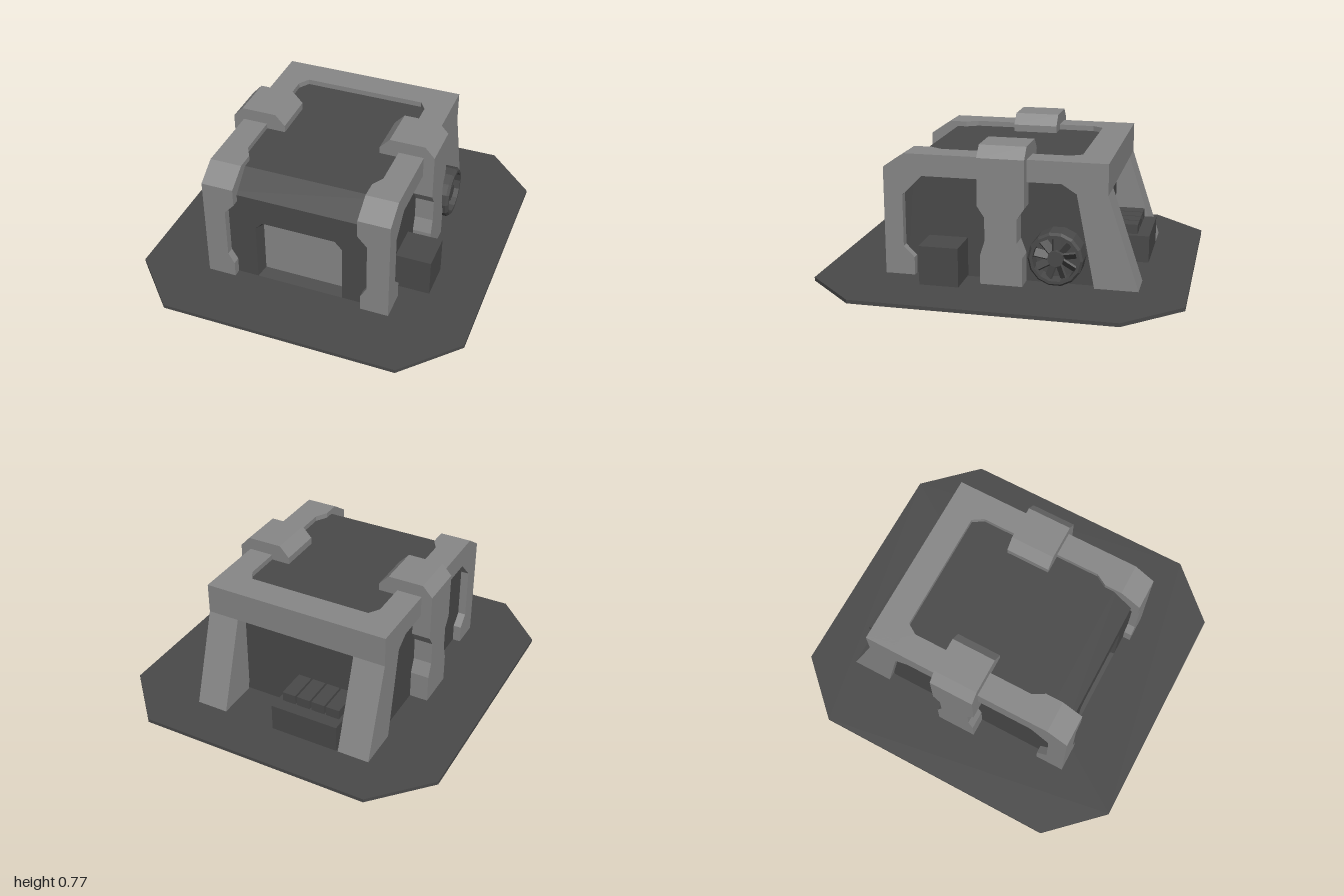
import * as THREE from 'three';

const light = new THREE.MeshStandardMaterial({ color: 0x888888, flatShading: true });
light.name = 'lightPanel';
const dark = new THREE.MeshStandardMaterial({ color: 0x4a4a4a, flatShading: true, side: THREE.DoubleSide });
dark.name = 'darkPanel';

const shapeOf = pts => new THREE.Shape(pts.map(p => new THREE.Vector2(p[0], p[1])));
const extrude = (shape, depth) => new THREE.ExtrudeGeometry(shape, { depth, bevelEnabled: false });

function add(group, name, geometry, material) {
  const mesh = new THREE.Mesh(geometry, material);
  mesh.name = name;
  group.add(mesh);
  return mesh;
}

// Prism along x from points (z, y)
function alongX(pts, a, b) {
  const lo = Math.min(a, b), hi = Math.max(a, b);
  return extrude(shapeOf(pts), hi - lo).rotateY(-Math.PI / 2).translate(hi, 0, 0);
}
// Prism along y from points (x, z)
const alongY = (pts, lo, hi) => extrude(shapeOf(pts), hi - lo).rotateX(Math.PI / 2).translate(0, hi, 0);
// Prism along z from points (x, y)
const alongZ = (pts, lo, hi) => extrude(shapeOf(pts), hi - lo).translate(0, 0, lo);

function box(x0, x1, y0, y1, z0, z1) {
  return new THREE.BoxGeometry(x1 - x0, y1 - y0, z1 - z0)
    .translate((x0 + x1) / 2, (y0 + y1) / 2, (z0 + z1) / 2);
}

// Armour frame and buttress of one side, s = 1 or -1
function buildSide(s) {
  const g = new THREE.Group();
  g.name = s > 0 ? 'leftFrame' : 'rightFrame';
  const flip = pts => pts.map(([x, v]) => [s * x, v]);

  add(g, 'sideFrame', alongX([
    [0.645, 0.02], [0.645, 0.62], [0.525, 0.7], [-0.575, 0.7], [-0.575, 0.53], [-0.745, 0.02], [-0.51, 0.02],
    [-0.41, 0.53], [-0.33, 0.58], [0.43, 0.58], [0.54, 0.47], [0.54, 0.18], [0.48, 0.12], [0.48, 0.02],
  ], s * 0.47, s * 0.53), light);
  add(g, 'frontPost', alongZ(flip([
    [0.53, 0.02], [0.53, 0.62], [0.35, 0.62], [0.35, 0.52], [0.405, 0.46], [0.405, 0.17], [0.37, 0.11], [0.37, 0.02],
  ]), 0.59, 0.645), light);
  add(g, 'frontCorner', alongX([
    [0.645, 0.56], [0.645, 0.62], [0.525, 0.7], [0.43, 0.7], [0.43, 0.65], [0.48, 0.65], [0.59, 0.55],
  ], s * 0.35, s * 0.53), light);
  add(g, 'roofRail', alongY(flip([
    [0.53, 0.5], [0.35, 0.5], [0.35, 0.425], [0.388, 0.36], [0.388, -0.35], [0.35, -0.41], [0.35, -0.5], [0.53, -0.5],
  ]), 0.65, 0.7), light);
  add(g, 'rearPost', alongX([
    [-0.41, 0.53], [-0.575, 0.53], [-0.745, 0.02], [-0.51, 0.02],
  ], s * 0.35, s * 0.53), light);

  // Waisted leg and its hooked cap over the roof edge
  add(g, 'buttressLeg', alongX([
    [0.095, 0.02], [0.095, 0.18], [0.07, 0.26], [0.07, 0.39], [0.11, 0.45], [0.11, 0.61],
    [-0.145, 0.61], [-0.145, 0.45], [-0.105, 0.39], [-0.105, 0.26], [-0.135, 0.18], [-0.135, 0.02],
  ], s * 0.47, s * 0.59), light);
  add(g, 'buttressCap', alongZ(flip([
    [0.59, 0.61], [0.59, 0.71], [0.535, 0.77], [0.335, 0.77], [0.28, 0.71], [0.28, 0.66], [0.47, 0.66], [0.47, 0.61],
  ]), -0.145, 0.11), light);
  return g;
}

// Recessed doorway with a sloping reveal
function buildFront() {
  const g = new THREE.Group();
  g.name = 'frontEntrance';
  const outer = [[-0.25, 0.02], [-0.25, 0.36], [-0.208, 0.405], [0.208, 0.405], [0.25, 0.36], [0.25, 0.02]];
  const inner = [[-0.23, 0.04], [-0.23, 0.35], [-0.195, 0.38], [0.195, 0.38], [0.23, 0.35], [0.23, 0.04]];
  add(g, 'frontWall', alongZ([
    [-0.485, 0.02], [-0.485, 0.56], [0.485, 0.56], [0.485, 0.02], ...outer.slice().reverse(),
  ], 0.53, 0.6), dark);

  const pos = [], idx = [];
  outer.forEach(([x, y], i) => pos.push(x, y, 0.6, inner[i][0], inner[i][1], 0.536));
  for (let i = 0; i < 6; i++) {
    const a = 2 * i, b = 2 * ((i + 1) % 6);
    idx.push(a, b, a + 1, b, b + 1, a + 1);
  }
  const reveal = new THREE.BufferGeometry();
  reveal.setAttribute('position', new THREE.Float32BufferAttribute(pos, 3));
  reveal.setIndex(idx);
  reveal.computeVertexNormals();
  add(g, 'doorReveal', reveal, dark);
  add(g, 'door', alongZ(inner, 0.528, 0.536), light);
  return g;
}

// Round ventilator facing +x
function buildFan() {
  const g = new THREE.Group();
  g.name = 'fan';
  const ring = [[0.148, 0], [0.148, 0.11], [0.136, 0.125], [0.12, 0.125], [0.12, 0.04], [0, 0.04]];
  add(g, 'fanRing', new THREE.LatheGeometry(ring.map(p => new THREE.Vector2(...p)), 14).rotateZ(-Math.PI / 2), dark);
  add(g, 'fanHub', new THREE.CylinderGeometry(0.043, 0.043, 0.07, 12).rotateZ(-Math.PI / 2).translate(0.075, 0, 0), dark);
  for (let i = 0; i < 9; i++) {
    const blade = new THREE.BoxGeometry(0.012, 0.085, 0.045).rotateY(0.7).translate(0.075, 0.08, 0);
    add(g, 'fanBlade', blade.rotateX(i * Math.PI * 2 / 9), dark);
  }
  g.position.set(0.485, 0.19, -0.312);
  return g;
}

export function createModel() {
  const model = new THREE.Group();
  model.name = 'bunker';

  // Ground slab with cut corners
  add(model, 'baseSlab', alongY([
    [-0.94, -0.705], [-0.66, -1], [0.66, -1], [0.94, -0.705], [0.94, 0.705], [0.66, 1], [-0.66, 1], [-0.94, 0.705],
  ], 0, 0.02), dark);

  const building = new THREE.Group();
  building.name = 'building';
  building.position.x = -0.03;
  model.add(building);

  add(building, 'body', alongX([
    [0.53, 0.02], [0.53, 0.56], [0.6, 0.56], [0.48, 0.67], [-0.5, 0.67], [-0.5, 0.02],
  ], -0.485, 0.485), dark);
  building.add(buildFront(), buildSide(1), buildSide(-1), buildFan());
  add(building, 'rearBeam', box(-0.53, 0.53, 0.53, 0.7, -0.575, -0.41), light);

  // Utility boxes beside and behind the building
  add(building, 'sideCrate', box(0.47, 0.685, 0.025, 0.24, 0.19, 0.405), dark);
  add(building, 'rearCrate', box(-0.34, 0.05, 0.02, 0.175, -0.745, -0.49), dark);
  for (let i = 0; i < 4; i++) {
    const x = -0.32 + i * 0.088;
    add(building, 'rearCanister', box(x, x + 0.077, 0.17, 0.23, -0.675, -0.49), dark);
  }
  return model;
}
